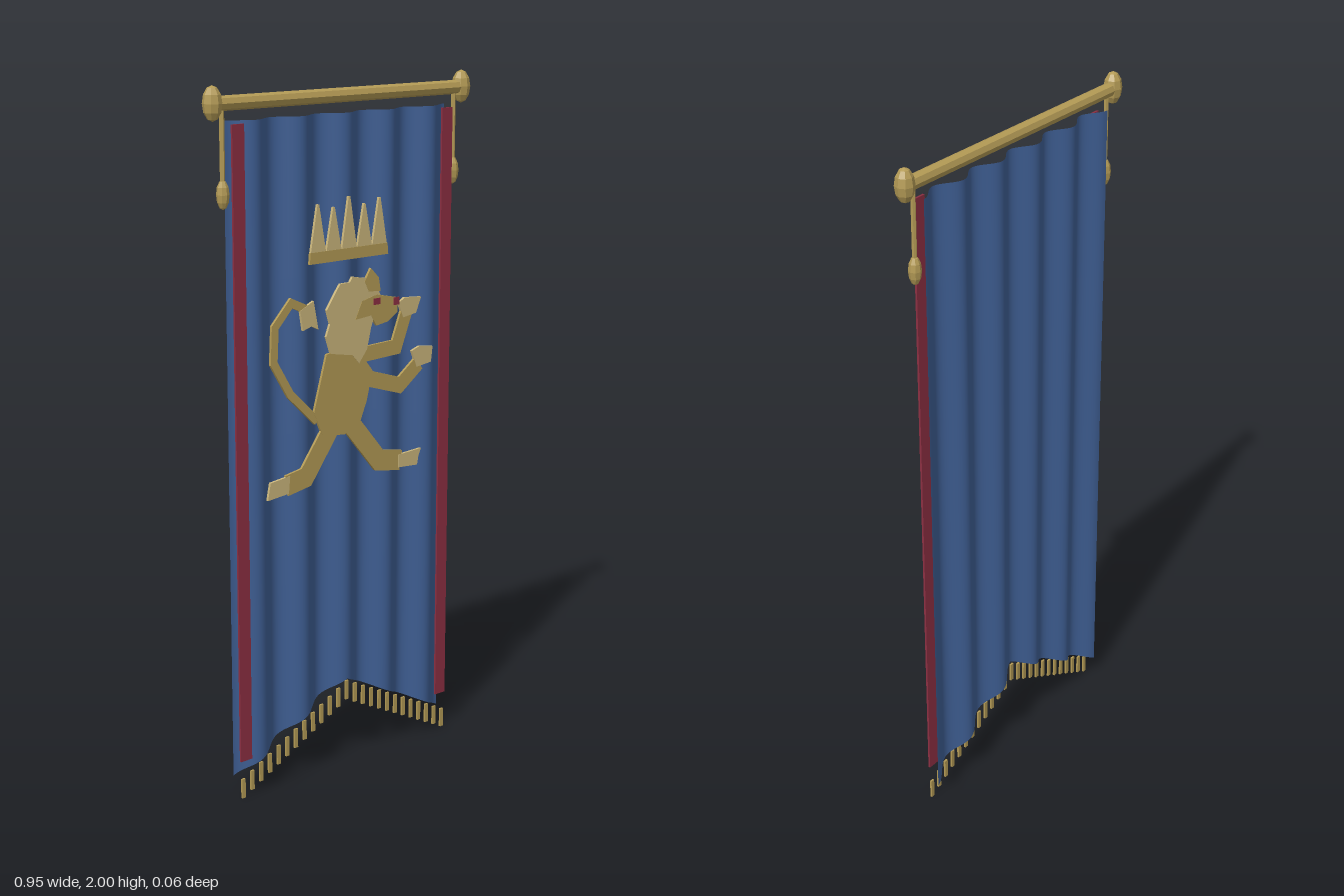
import * as THREE from 'three';

const mat = (name, color, extra = {}) => {
  const m = new THREE.MeshStandardMaterial({ color, ...extra });
  m.name = name;
  return m;
};

export function createModel() {
  const root = new THREE.Group();
  root.name = 'hangingBanner';
  const blue = mat('blueCloth', 0x3f5f94, { side: THREE.DoubleSide });
  const red = mat('redTrim', 0x8c2f42);
  const gold = mat('gold', 0xb39a55, { flatShading: true });
  const pale = mat('paleGold', 0xcbb67c, { flatShading: true });

  const add = (name, geo, material, x = 0, y = 0, z = 0, parent = root) => {
    const m = new THREE.Mesh(geo, material);
    m.name = name;
    m.position.set(x, y, z);
    parent.add(m);
    return m;
  };

  // Pole with end knobs and hanging cords
  add('pole', new THREE.CylinderGeometry(0.02, 0.02, 0.9, 8).rotateZ(Math.PI / 2), gold, 0, 1.952);
  const knob = new THREE.SphereGeometry(1, 8, 6);
  for (const s of [-1, 1]) {
    add('knob', knob, gold, s * 0.45, 1.953).scale.set(0.027, 0.047, 0.027);
    add('cord', new THREE.CylinderGeometry(0.007, 0.007, 0.23, 6), gold, s * 0.42, 1.835);
    add('tassel', knob, gold, s * 0.42, 1.715).scale.set(0.018, 0.04, 0.018);
    add('sideStripe', new THREE.BoxGeometry(0.04, 1.785, 0.006), red, s * 0.38, 1.005, 0.015);
  }

  // Rippled cloth with a notched lower edge
  const hem = (x) => 0.26 - 0.5 * Math.abs(x);
  const cloth = new THREE.PlaneGeometry(0.8, 1, 80, 4);
  const p = cloth.attributes.position;
  for (let i = 0; i < p.count; i++) {
    const x = p.getX(i), t = p.getY(i) + 0.5;
    p.setXYZ(i, x, THREE.MathUtils.lerp(hem(x), 1.905, t), 0.018 * Math.cos(x * Math.PI * 2 / 0.16));
  }
  cloth.computeVertexNormals();
  add('cloth', cloth, blue);

  // Fringe following the hem
  const strand = new THREE.BoxGeometry(0.012, 0.058, 0.006);
  for (let i = 0; i < 25; i++) {
    const x = -0.39 + i * 0.0325;
    add('fringe', strand, gold, x, hem(x) - 0.036, 0.014);
  }

  // Emblem: thin plates, coordinates in hundredths
  const emblem = new THREE.Group();
  emblem.name = 'emblem';
  root.add(emblem);
  const plate = (name, pts, material, layer = 0) => {
    const shape = new THREE.Shape(pts.map(([x, y]) => new THREE.Vector2(x / 100, y / 100)));
    const geo = new THREE.ExtrudeGeometry(shape, { depth: 0.008, bevelEnabled: false });
    add(name, geo, material, 0, 0, 0.018 + layer * 0.001, emblem);
  };
  // Mitred strip along a path
  const strip = (name, path, width, material, layer = 0) => {
    const v = path.map(([x, y]) => new THREE.Vector2(x, y));
    const left = [], right = [];
    v.forEach((c, i) => {
      const a = c.clone().sub(v[Math.max(i - 1, 0)]).normalize();
      const b = v[Math.min(i + 1, v.length - 1)].clone().sub(c).normalize();
      const d = a.clone().add(b).normalize();
      const ref = i === 0 ? b : a;
      const k = width / 2 / Math.max(d.dot(ref), 0.6);
      left.push([c.x - d.y * k, c.y + d.x * k]);
      right.unshift([c.x + d.y * k, c.y - d.x * k]);
    });
    plate(name, [...left, ...right], material, layer);
  };

  // Crown
  plate('crownBand', [[-14.5, 150.3], [14.5, 150.3], [14.2, 153.5], [-14.2, 153.5]], gold, 1);
  [166.5, 165.3, 167.8, 165.3, 166.5].forEach((tip, i) => {
    const x = -11.3 + i * 5.65;
    plate('crownPoint', [[x - 2.8, 153], [x + 2.8, 153], [x + 0.3, tip], [x - 0.3, tip]], pale);
  });

  // Tail and tuft
  strip('tail', [[-12, 106], [-21.5, 115], [-27.3, 124.5], [-26.8, 134.5], [-21, 140.5], [-15.5, 138]], 2.4, gold);
  plate('tailTuft', [[-18, 138], [-13.2, 140.2], [-11.5, 132], [-14, 133.2], [-17, 132.3]], pale, 1);

  // Legs and feet
  strip('hindLeg', [[-6, 104], [-16, 90.5], [-23, 89.3]], 6, gold);
  plate('hindFoot', [[-29, 91.2], [-22, 92], [-22.5, 87], [-30, 86.3]], pale, 1);
  strip('frontLeg', [[0, 104], [11.5, 90.5], [20, 89]], 6, gold);
  plate('frontFoot', [[19, 90.8], [28, 91.3], [27, 89], [26.5, 86.5], [19, 87]], pale, 1);

  // Arms and paws
  strip('lowerArm', [[5, 116], [19.5, 111.5], [27, 117]], 4.6, gold);
  plate('lowerPaw', [[24, 121], [27, 122], [32.3, 121.3], [31.7, 116.7], [26, 116]], pale, 1);
  strip('upperArm', [[4, 122.5], [18, 123], [22, 133]], 4.4, gold);
  plate('upperPaw', [[18.7, 135.7], [21, 137], [27.5, 136.5], [25.5, 132], [20.5, 131.3]], pale, 1);

  // Body, mane and head
  plate('body', [[-8.5, 124.5], [-2, 125.5], [5, 122], [8.7, 117.5], [6.5, 109], [3.5, 102],
    [-2, 100.5], [-10, 101.5], [-13.2, 108.5]], gold, 1);
  plate('mane', [[-5.3, 141.5], [-3.5, 143.8], [0, 143.8], [1, 145.3], [5, 144.5], [9, 144],
    [11.5, 139], [8, 130], [6.5, 124], [3.5, 120.3], [1, 123], [-7, 124.5], [-8.7, 129.5],
    [-7.3, 133], [-8.5, 137]], pale, 2);
  plate('ear', [[5.5, 143.5], [7.8, 147], [10.8, 144], [11.5, 140], [7, 140.5]], gold, 3);
  plate('head', [[2, 133], [4.5, 138], [10, 139.2], [18, 137.5], [18, 133.2], [14.5, 131], [10, 130.3], [8, 133.5]], gold, 3);
  add('eye', new THREE.BoxGeometry(0.024, 0.018, 0.003), red, 0.1, 1.373, 0.03, emblem);
  add('nose', new THREE.BoxGeometry(0.02, 0.022, 0.003), red, 0.175, 1.365, 0.03, emblem);

  return root;
}
